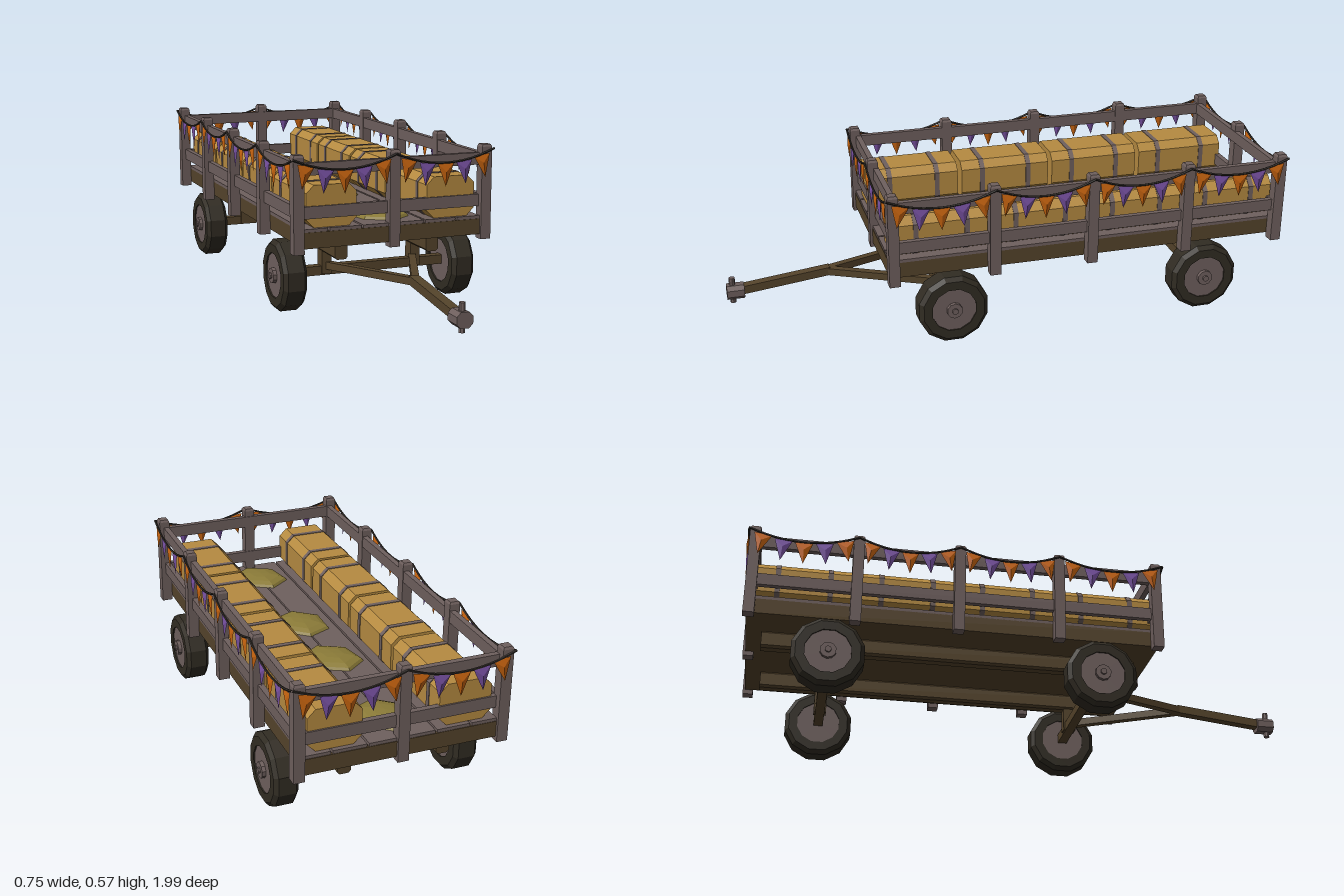
import * as THREE from 'three';

const mat = (name, color, extra = {}) => {
  const m = new THREE.MeshStandardMaterial({ color, flatShading: true, ...extra });
  m.name = name;
  return m;
};

export function createModel() {
  const root = new THREE.Group();
  root.name = 'hayWagon';
  const wood = mat('weathered wood', 0x6f605e);
  const brown = mat('dark timber', 0x55442b);
  const tyreMat = mat('tyre rubber', 0x312c23);
  const hay = mat('baled hay', 0xb68b41);
  const straw = mat('loose straw', 0x8b7b38);
  const ropeMat = mat('rope', 0x302b26);
  const orange = mat('orange cloth', 0xc8640f, { side: THREE.DoubleSide });
  const purple = mat('purple cloth', 0x7650a0, { side: THREE.DoubleSide });

  const add = (name, geo, material, x = 0, y = 0, z = 0, parent = root) => {
    const m = new THREE.Mesh(geo, material);
    m.name = name;
    m.position.set(x, y, z);
    parent.add(m);
    return m;
  };
  const box = (name, material, w, h, d, x, y, z) =>
    add(name, new THREE.BoxGeometry(w, h, d), material, x, y, z);

  // Prism along z with a rectangular section and cut corners
  const cutPrism = (w, h, c, d) => {
    const a = w / 2, b = h / 2;
    const s = new THREE.Shape([
      [-a + c, -b], [a - c, -b], [a, -b + c], [a, b - c],
      [a - c, b], [-a + c, b], [-a, b - c], [-a, -b + c],
    ].map(p => new THREE.Vector2(...p)));
    return new THREE.ExtrudeGeometry(s, { depth: d, bevelEnabled: false }).translate(0, 0, -d / 2);
  };

  // Square bar between two points
  const bar = (name, material, p, q, w, h) => {
    const a = new THREE.Vector3(...p), b = new THREE.Vector3(...q);
    const m = add(name, new THREE.BoxGeometry(w, h, a.distanceTo(b)), material);
    m.position.copy(a).add(b).multiplyScalar(0.5);
    m.lookAt(b);
    return m;
  };

  const zFront = 0.45, zBack = -0.972, bay = (zFront - zBack) / 4;
  const zMid = (zFront + zBack) / 2, length = zFront - zBack;

  // Bed, deck planks and long under-beams
  box('bed', brown, 0.652, 0.055, length + 0.02, 0, 0.2875, zMid);
  [[0.003, 0.112], [0.119, 0.232], [0.239, 0.326]].forEach(([a, b]) => {
    for (const s of [-1, 1])
      box('deckPlank', wood, b - a, 0.012, length + 0.016, s * (a + b) / 2, 0.32, zMid);
  });
  for (const s of [-1, 1])
    add('underBeam', cutPrism(0.046, 0.062, 0.008, 1.33), brown, s * 0.17, 0.231, zMid);

  // Posts and rails
  const post = (x, z) => {
    box('post', wood, 0.038, 0.325, 0.038, x, 0.4055, z);
    const cap = add('postCap', new THREE.CylinderGeometry(0.021, 0.0269, 0.008, 4), wood, x, 0.572, z);
    cap.rotation.y = Math.PI / 4;
  };
  for (let i = 0; i <= 4; i++) for (const s of [-1, 1]) post(s * 0.345, zFront - i * bay);
  for (const z of [zFront, zBack]) {
    post(0, z);
    const inward = Math.sign(zMid - z) * 0.012;
    for (const y of [0.525, 0.379]) box('endRail', wood, 0.67, 0.042, 0.02, 0, y, z + inward);
  }
  for (const s of [-1, 1]) for (const y of [0.525, 0.379])
    box('sideRail', wood, 0.02, 0.042, length, s * 0.338, y, zMid);

  // Hay bales with twine
  for (const s of [-1, 1]) for (let i = 0; i < 4; i++) {
    const z = zFront - (i + 0.5) * bay;
    const len = bay - 0.016;
    add('hayBale', cutPrism(0.18, 0.144, 0.027, len), hay, s * 0.22, 0.398, z);
    for (const t of [-0.09, 0.09])
      add('baleTwine', cutPrism(0.184, 0.148, 0.028, 0.018), wood, s * 0.22, 0.398, z + t);
  }

  // Loose straw mounds
  [-0.84, -0.42, -0.125, 0.32].forEach((z, i) => {
    const m = add('strawMound', new THREE.SphereGeometry(1, 6, 4, 0, Math.PI * 2, 0, Math.PI / 2),
      straw, 0, 0.325, z);
    m.scale.set(0.094, 0.026, 0.112);
    m.rotation.y = Math.PI / 6 + (i % 2 ? 0.12 : -0.1);
  });

  // Wheels: lathed tyre, rim and stepped hub
  const tyreProfile = [[0.08, -0.043], [0.112, -0.043], [0.127, -0.03], [0.127, 0.03],
    [0.112, 0.043], [0.08, 0.043], [0.08, -0.043]].map(p => new THREE.Vector2(...p));
  const tyreGeo = new THREE.LatheGeometry(tyreProfile, 12);
  const wheel = (s, z) => {
    const g = new THREE.Group();
    g.name = 'wheel';
    g.position.set(s * 0.318, 0.125, z);
    g.rotation.set(0, 0, -s * Math.PI / 2);
    root.add(g);
    const spin = new THREE.Group();
    spin.name = 'wheelParts';
    spin.rotation.y = Math.PI / 12;
    g.add(spin);
    add('tyre', tyreGeo, tyreMat, 0, 0, 0, spin);
    add('rim', new THREE.CylinderGeometry(0.083, 0.083, 0.076, 12), wood, 0, 0, 0, spin);
    add('hub', new THREE.CylinderGeometry(0.028, 0.028, 0.05, 10), wood, 0, 0.026, 0, spin);
    add('hubCap', new THREE.CylinderGeometry(0.011, 0.011, 0.03, 8), wood, 0, 0.043, 0, spin);
  };
  for (const z of [0.243, -0.7]) {
    for (const s of [-1, 1]) {
      wheel(s, z);
      box('axleBracket', brown, 0.036, 0.09, 0.045, s * 0.17, 0.163, z);
    }
    box('axle', brown, 0.56, 0.033, 0.034, 0, 0.13, z);
  }

  // Drawbar and coupler
  for (const s of [-1, 1])
    bar('drawbarArm', brown, [s * 0.165, 0.147, 0.25], [0, 0.163, 0.635], 0.026, 0.026);
  bar('drawbar', brown, [0, 0.165, 0.62], [0, 0.128, 0.95], 0.034, 0.03);
  add('coupler', cutPrism(0.056, 0.052, 0.014, 0.062), wood, 0, 0.125, 0.962);
  add('couplerPin', new THREE.CylinderGeometry(0.011, 0.011, 0.096, 8), wood, 0, 0.13, 0.972);

  // Cloth pennant, slightly puffed on both faces, hanging from y = 0
  const flagGeo = w => {
    const L = [-w / 2, 0, 0], R = [w / 2, 0, 0], T = [0, -0.08, 0];
    const F = [0, -0.028, 0.006], B = [0, -0.028, -0.006];
    const g = new THREE.BufferGeometry();
    const tris = [L, T, F, T, R, F, R, L, F, T, L, B, R, T, B, L, R, B];
    g.setAttribute('position', new THREE.Float32BufferAttribute(tris.flat(), 3));
    g.computeVertexNormals();
    return g;
  };

  // One swag of bunting between two post tops
  const swag = (ax, az, bx, bz, yaw) => {
    const at = t => new THREE.Vector3(ax + (bx - ax) * t,
      0.563 - 0.04 * (1 - (2 * t - 1) ** 2), az + (bz - az) * t);
    const span = Math.hypot(bx - ax, bz - az);
    const curve = new THREE.CatmullRomCurve3([0, 0.17, 0.33, 0.5, 0.67, 0.83, 1].map(at));
    add('buntingRope', new THREE.TubeGeometry(curve, 12, 0.004, 5), ropeMat);
    const geo = flagGeo(span * 0.163);
    for (let i = 0; i < 5; i++) {
      const t = 0.13 + i * 0.185;
      const p = at(t);
      const m = add('pennant', geo, i % 2 ? purple : orange, p.x, p.y - 0.003, p.z);
      m.rotation.order = 'YXZ';
      const slope = Math.atan2(at(t + 0.05).y - at(t - 0.05).y, span * 0.1);
      m.rotation.set(0, yaw, slope * 0.6);
    }
  };
  const xo = 0.37, zf = 0.475, zb = -0.995;
  for (const s of [-1, 1]) {
    swag(s < 0 ? -xo : 0, zf, s < 0 ? 0 : xo, zf, 0);
    swag(s < 0 ? 0 : xo, zb, s < 0 ? -xo : 0, zb, Math.PI);
    const ends = [zf, zFront - bay, zFront - 2 * bay, zFront - 3 * bay, zb];
    for (let i = 0; i < 4; i++) {
      const [a, b] = s > 0 ? [ends[i], ends[i + 1]] : [ends[i + 1], ends[i]];
      swag(s * xo, a, s * xo, b, s * Math.PI / 2);
    }
  }
  return root;
}
